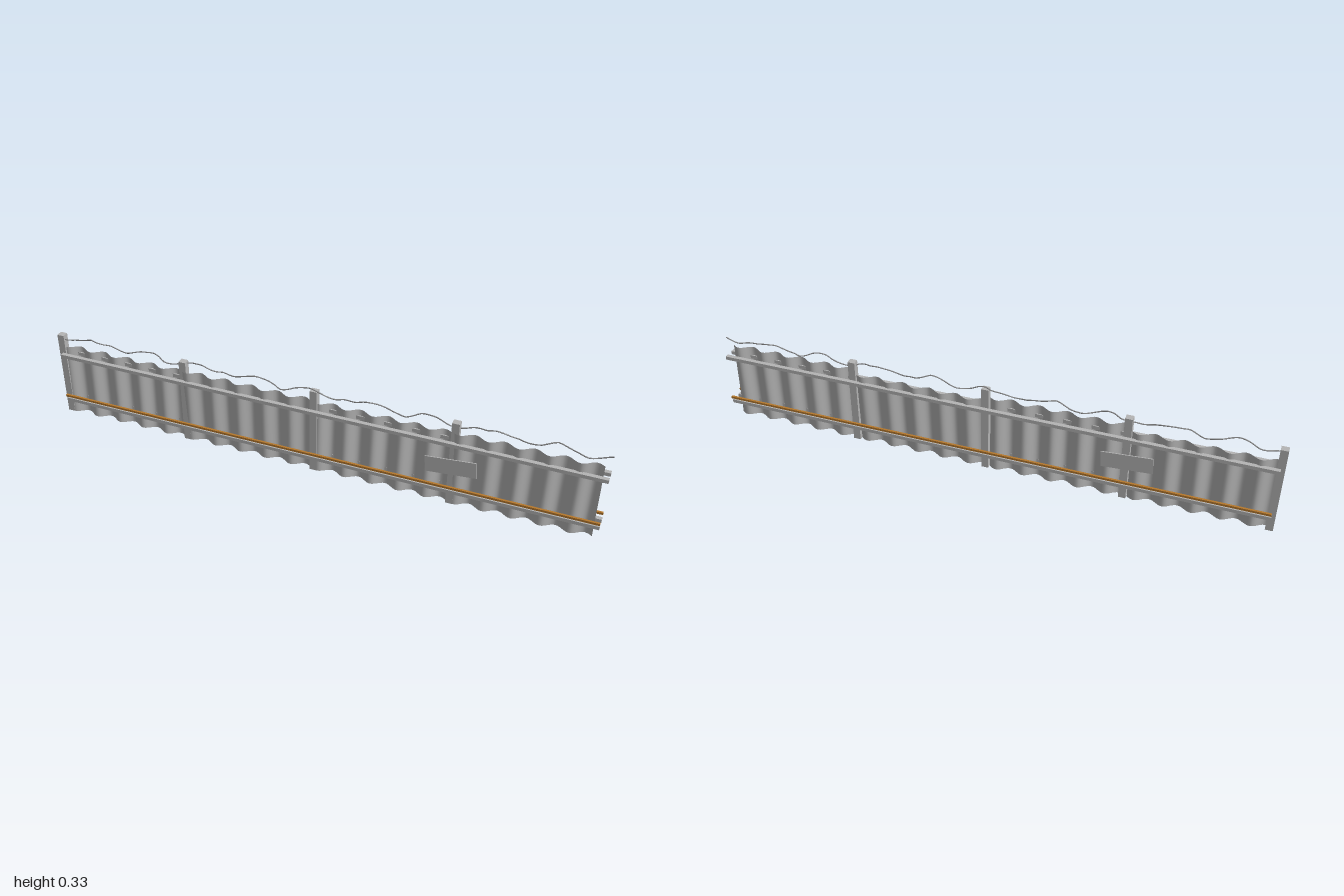
import * as THREE from 'three';

export function createModel() {
  const root = new THREE.Group();
  root.name = 'corrugatedFence';

  const sheetSteel = new THREE.MeshStandardMaterial({ color: 0xb8b8b8, side: THREE.DoubleSide });
  sheetSteel.name = 'sheetSteel';
  const frameSteel = new THREE.MeshStandardMaterial({ color: 0xb4b4b4 });
  frameSteel.name = 'frameSteel';
  const rust = new THREE.MeshStandardMaterial({ color: 0xb5782c });
  rust.name = 'rustOrange';
  const wireGrey = new THREE.MeshStandardMaterial({ color: 0x8c8c8c });
  wireGrey.name = 'wireGrey';

  function add(name, geometry, material, x = 0, y = 0, z = 0) {
    const mesh = new THREE.Mesh(geometry, material);
    mesh.name = name;
    mesh.position.set(x, y, z);
    root.add(mesh);
    return mesh;
  }

  // Wavy sheet panels, alternately taller and leaning forward or back
  const pitch = 0.495, width = 0.49, waves = 5;
  for (let i = 0; i < 4; i++) {
    const tall = i % 2 === 1;
    const h = tall ? 0.29 : 0.279;
    const lean = tall ? 0.006 : -0.006;
    const geo = new THREE.PlaneGeometry(width, h, 60, 1);
    geo.translate(0, h / 2, 0);
    const p = geo.attributes.position;
    for (let k = 0; k < p.count; k++) {
      const wave = 0.0115 * Math.sin((p.getX(k) / width + 0.5) * waves * Math.PI * 2);
      p.setZ(k, wave + lean * p.getY(k) / h);
    }
    geo.computeVertexNormals();
    add('sheetPanel' + (i + 1), geo, sheetSteel, -0.75 + i * pitch);
  }

  // Square posts
  for (let i = 0; i < 4; i++) {
    add('post' + (i + 1), new THREE.BoxGeometry(0.026, 0.328, 0.024), frameSteel,
      -0.985 + i * pitch, 0.164, 0);
  }

  // Rails, rust strips and patch plates on both faces
  for (const side of [1, -1]) {
    const face = side > 0 ? 'front' : 'back';
    add(face + 'UpperRail', new THREE.BoxGeometry(1.985, 0.013, 0.015), frameSteel, 0.0075, 0.249, side * 0.0195);
    add(face + 'LowerRail', new THREE.BoxGeometry(1.985, 0.013, 0.015), frameSteel, 0.0075, 0.06, side * 0.0195);
    add(face + 'RustStrip', new THREE.BoxGeometry(1.985, 0.008, 0.008), rust, 0.0075, 0.08, side * 0.0295);
    const plate = add(face + 'PatchPlate', new THREE.BoxGeometry(0.176, 0.06, 0.004), frameSteel,
      side * 0.5, 0.168, side * 0.031);
    plate.rotation.z = side * (side > 0 ? 0.09 : 0.07);
  }

  // Loose wire running along the post tops
  const points = [];
  for (let i = 0; i <= 80; i++) {
    const x = -0.985 + (i / 80) * 1.985;
    points.push(new THREE.Vector3(
      x,
      0.319 + 0.0105 * Math.sin(x * 30 + 1.8) + 0.002 * Math.sin(x * 71),
      0.007 * Math.sin(x * 43) + 0.002 * Math.sin(x * 97)
    ));
  }
  add('topWire', new THREE.TubeGeometry(new THREE.CatmullRomCurve3(points), 160, 0.0022, 5), wireGrey);

  return root;
}
